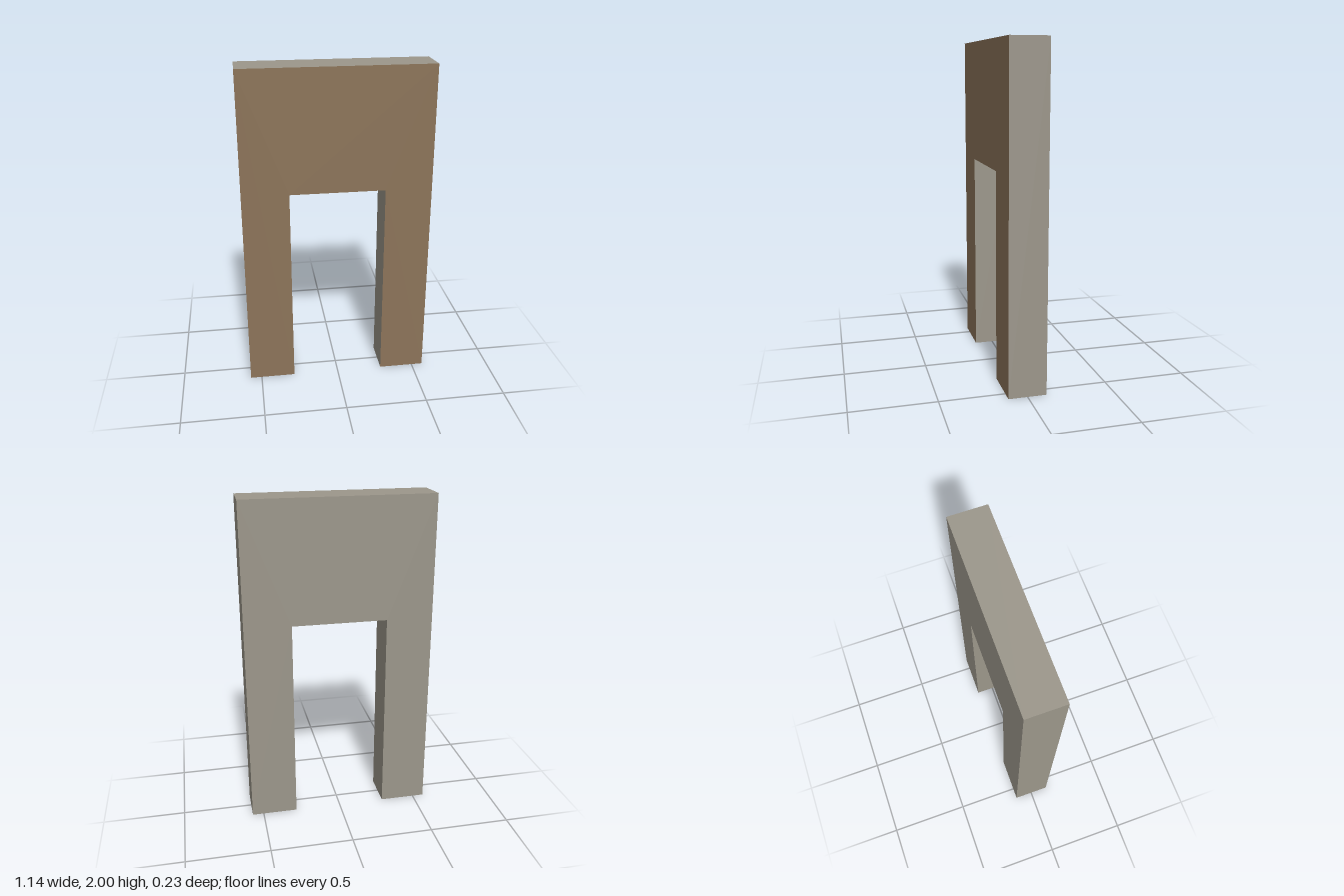
import * as THREE from 'three';

const HALF_WIDTH = 0.57, HEIGHT = 2, DEPTH = 0.226;
const HALF_OPENING = 0.287, OPENING_HEIGHT = 1.26;

export function createModel() {
  const group = new THREE.Group();
  group.name = 'archway';

  const frontMaterial = new THREE.MeshStandardMaterial({ color: 0x8c7459 });
  const bodyMaterial = new THREE.MeshStandardMaterial({ color: 0x9c978b });

  // Outline of two legs joined by a deep lintel
  const outline = new THREE.Shape([
    [-HALF_WIDTH, 0], [-HALF_OPENING, 0],
    [-HALF_OPENING, OPENING_HEIGHT], [HALF_OPENING, OPENING_HEIGHT],
    [HALF_OPENING, 0], [HALF_WIDTH, 0],
    [HALF_WIDTH, HEIGHT], [-HALF_WIDTH, HEIGHT],
  ].map(([x, y]) => new THREE.Vector2(x, y)));

  const geometry = new THREE.ExtrudeGeometry(outline, { depth: DEPTH, bevelEnabled: false });
  geometry.translate(0, 0, -DEPTH / 2);

  // The caps come first, back then front: only the front one is brown
  const [caps, sides] = geometry.groups;
  const capCount = caps.count / 2;
  geometry.clearGroups();
  geometry.addGroup(0, capCount, 1);
  geometry.addGroup(capCount, capCount, 0);
  geometry.addGroup(sides.start, sides.count, 1);

  const frame = new THREE.Mesh(geometry, [frontMaterial, bodyMaterial]);
  frame.name = 'archFrame';
  group.add(frame);
  return group;
}
